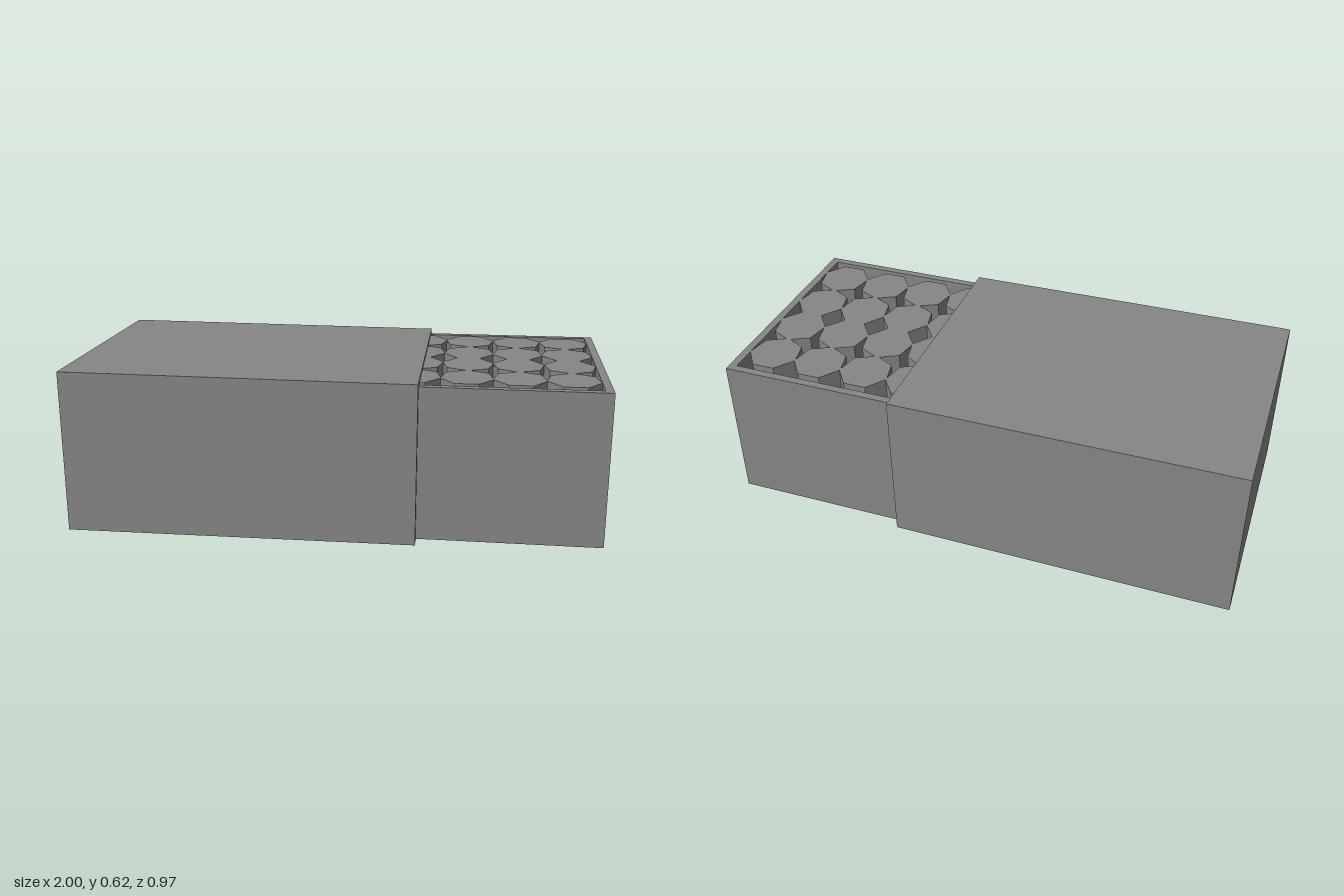
import * as THREE from 'three';

const material = new THREE.MeshStandardMaterial({ color: 0x868686, flatShading: true });

function addMesh(parent, geometry, name, x, y, z) {
  const mesh = new THREE.Mesh(geometry, material);
  mesh.name = name;
  mesh.position.set(x, y, z);
  parent.add(mesh);
  return mesh;
}

// Box whose +x end is scaled in y and z
function taperedBox(length, height, depth, scaleY, scaleZ) {
  const geometry = new THREE.BoxGeometry(length, height, depth);
  const p = geometry.attributes.position;
  for (let i = 0; i < p.count; i++) {
    if (p.getX(i) > 0) {
      p.setY(i, p.getY(i) * scaleY);
      p.setZ(i, p.getZ(i) * scaleZ);
    }
  }
  geometry.computeVertexNormals();
  return geometry;
}

export function createModel() {
  const model = new THREE.Group();
  model.name = 'slidingBox';

  // Outer sleeve, slightly narrower at its mouth
  addMesh(model, taperedBox(1.32, 0.62, 0.972, 0.982, 0.994), 'sleeve', -0.34, 0.31, 0);

  // Open-topped tray pulled partly out of the sleeve
  const tray = new THREE.Group();
  tray.name = 'tray';
  model.add(tray);
  const x0 = -0.3, x1 = 1, wall = 0.03, bottom = 0.021, top = 0.6, half = 0.457;
  const length = x1 - x0, height = top - bottom;
  const midX = (x0 + x1) / 2, midY = (top + bottom) / 2;
  addMesh(tray, new THREE.BoxGeometry(length, wall, half * 2), 'trayFloor', midX, bottom + wall / 2, 0);
  for (const side of [-1, 1]) {
    addMesh(tray, new THREE.BoxGeometry(length, height, wall), 'traySide', midX, midY, side * (half - wall / 2));
    addMesh(tray, new THREE.BoxGeometry(wall, height, 2 * (half - wall)), 'trayEnd',
      midX + side * (length - wall) / 2, midY, 0);
  }

  // Rows of upright seven-sided cylinders, paired with their points together
  const contents = new THREE.Group();
  contents.name = 'cylinders';
  tray.add(contents);
  const floorY = bottom + wall, cylinderTop = 0.602;
  const geometry = new THREE.CylinderGeometry(0.108, 0.108, cylinderTop - floorY, 7);
  geometry.scale(0.93, 1, 1);
  for (let column = 0; column < 6; column++) {
    for (let row = 0; row < 4; row++) {
      const turned = row % 2 === 1;
      const cylinder = addMesh(contents, geometry, 'cylinder',
        0.872 - column * 0.192, (floorY + cylinderTop) / 2, (row - 1.5) * 0.2 + (turned ? 0.003 : -0.003));
      cylinder.rotation.y = turned ? Math.PI : 0;
    }
  }

  return model;
}
